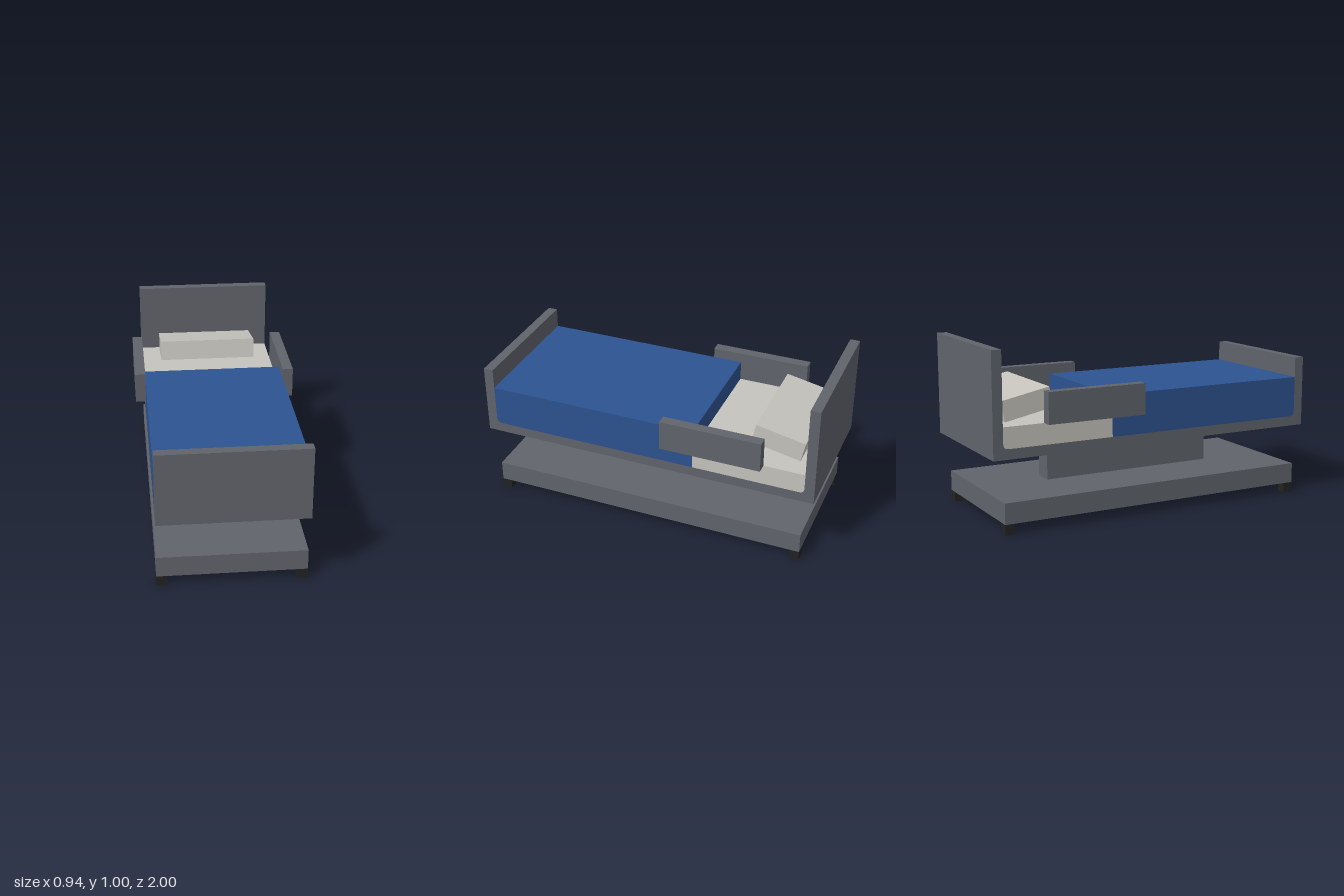
import * as THREE from 'three';

const material = (name, color) => {
  const m = new THREE.MeshStandardMaterial({ color });
  m.name = name;
  return m;
};

export function createModel() {
  const grey = material('grey frame', 0x61646c);
  const cream = material('cream linen', 0xc6c4bd);
  const blue = material('blue blanket', 0x2d5391);
  const black = material('black feet', 0x222222);

  const bed = new THREE.Group();
  bed.name = 'bed';

  const add = (name, geometry, mat) => {
    const mesh = new THREE.Mesh(geometry, mat);
    mesh.name = name;
    bed.add(mesh);
    return mesh;
  };

  // Box given by its low and high limits on each axis
  const box = (name, mat, [x0, x1], [y0, y1], [z0, z1]) => {
    const mesh = add(name, new THREE.BoxGeometry(x1 - x0, y1 - y0, z1 - z0), mat);
    mesh.position.set((x0 + x1) / 2, (y0 + y1) / 2, (z0 + z1) / 2);
    return mesh;
  };

  // Side profile (z, y) extruded across the width of the bed
  const W = 0.41;
  const across = (name, mat, shape) => {
    const g = new THREE.ExtrudeGeometry(shape, { depth: 2 * W, bevelEnabled: false, curveSegments: 5 });
    g.translate(0, 0, -W);
    g.rotateY(-Math.PI / 2);
    return add(name, g, mat);
  };

  const inner = 0.943, deck = 0.47, r = 0.03, fold = -0.293;

  // Deck with headboard and footboard, filleted inside
  const frame = new THREE.Shape();
  frame.moveTo(-1, 0.413);
  frame.lineTo(1, 0.413);
  frame.lineTo(1, 0.825);
  frame.lineTo(inner, 0.825);
  frame.lineTo(inner, deck + r);
  frame.quadraticCurveTo(inner, deck, inner - r, deck);
  frame.lineTo(-inner + r, deck);
  frame.quadraticCurveTo(-inner, deck, -inner, deck + r);
  frame.lineTo(-inner, 1);
  frame.lineTo(-1, 1);
  across('bedFrame', grey, frame);

  // Exposed mattress at the head end
  const mattress = new THREE.Shape();
  mattress.moveTo(-inner + r, deck);
  mattress.lineTo(fold, deck);
  mattress.lineTo(fold, 0.59);
  mattress.lineTo(-inner, 0.59);
  mattress.lineTo(-inner, deck + r);
  mattress.quadraticCurveTo(-inner, deck, -inner + r, deck);
  across('mattress', cream, mattress);

  // Blanket over the rest of the mattress
  const blanket = new THREE.Shape();
  blanket.moveTo(fold, deck);
  blanket.lineTo(inner - r, deck);
  blanket.quadraticCurveTo(inner, deck, inner, deck + r);
  blanket.lineTo(inner, 0.707);
  blanket.lineTo(fold, 0.707);
  across('blanket', blue, blanket);

  // Pillow, tipped down toward the headboard
  const pillow = add('pillow', new THREE.BoxGeometry(0.586, 0.118, 0.291), cream);
  pillow.position.set(0, 0.676, -0.75);
  pillow.rotation.x = -0.2;

  // Column and base
  box('column', grey, [-0.057, 0.057], [0.177, 0.413], [-0.53, 0.53]);
  box('base', grey, [-W, W], [0.059, 0.177], [-0.941, 0.941]);

  for (const s of [-1, 1]) {
    const side = s > 0 ? 'left' : 'right';
    const span = (a, b) => (s > 0 ? [a, b] : [-b, -a]);
    box(side + 'Rail', grey, span(W, 0.47), [0.59, 0.766], [-0.706, -0.12]);
    // Feet flush with the base corners
    box(side + 'FrontFoot', black, span(0.353, W), [0, 0.059], [0.884, 0.941]);
    box(side + 'BackFoot', black, span(0.353, W), [0, 0.059], [-0.941, -0.884]);
  }
  return bed;
}
